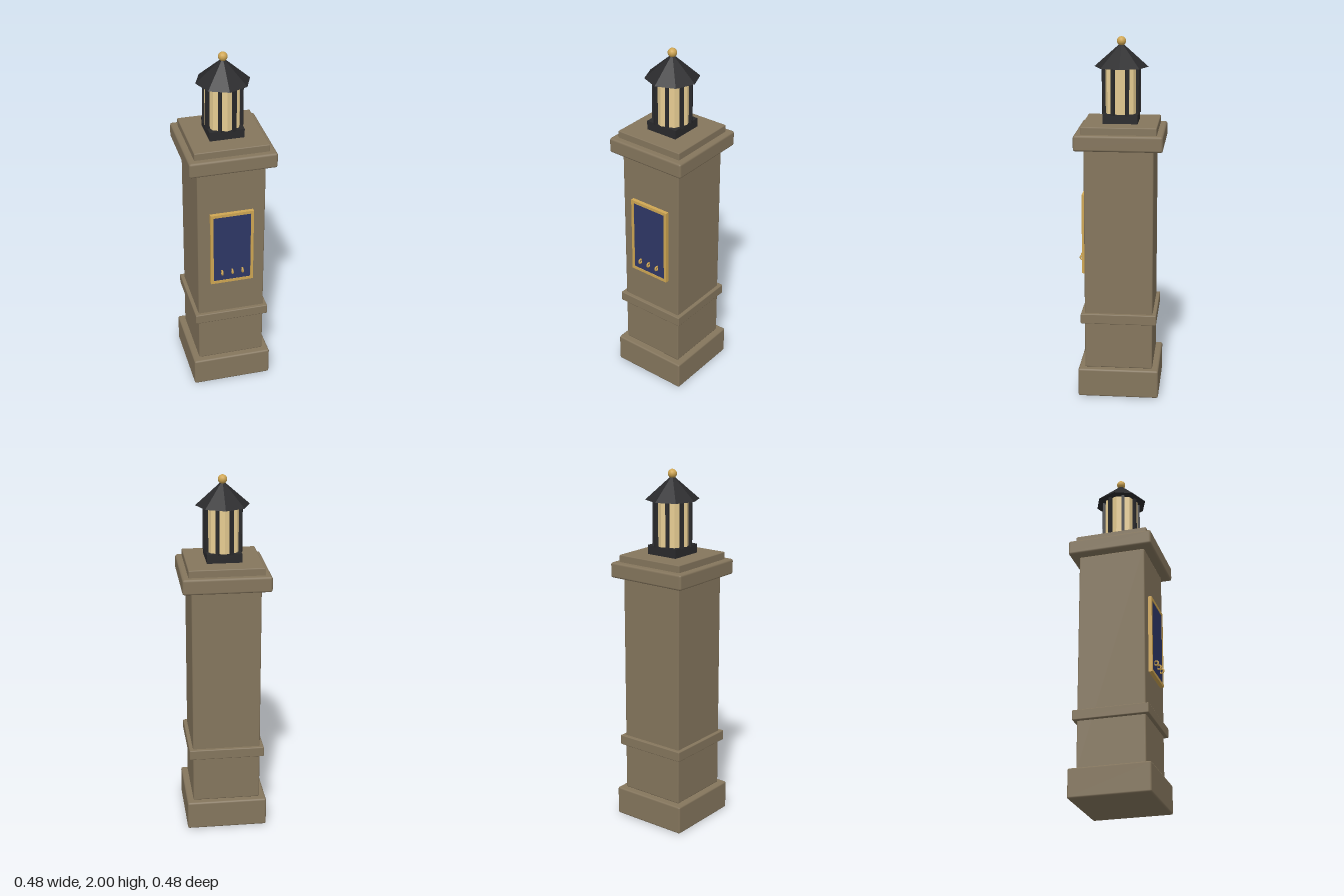
import * as THREE from 'three';
import { RoundedBoxGeometry } from 'three/addons/geometries/RoundedBoxGeometry.js';

function material(name, color) {
  const m = new THREE.MeshStandardMaterial({ color });
  m.name = name;
  return m;
}

// Faceted look: every face gets its own normal
function faceted(geometry) {
  const g = geometry.toNonIndexed();
  g.computeVertexNormals();
  return g;
}

export function createModel() {
  const stone = material('stone', 0x85765d);
  const iron = material('black iron', 0x2a2a2c);
  const glass = material('warm glass', 0xe6cc92);
  const gold = material('gold', 0xcfa653);
  const blue = material('navy blue', 0x2e3766);

  const model = new THREE.Group();
  model.name = 'lanternPillar';

  function add(name, geometry, mat, x = 0, y = 0, z = 0, parent = model) {
    const mesh = new THREE.Mesh(geometry, mat);
    mesh.name = name;
    mesh.position.set(x, y, z);
    parent.add(mesh);
    return mesh;
  }

  // Square stone blocks: name, half width, bottom, top, edge radius
  const blocks = [
    ['plinth', 0.225, 0, 0.163, 0.01],
    ['shaft', 0.189, 0.163, 1.414, 0.007],
    ['beltCourse', 0.21, 0.43, 0.487, 0.005],
    ['cornice', 0.24, 1.414, 1.5, 0.012],
    ['capSlab', 0.205, 1.495, 1.54, 0.005],
  ];
  for (const [name, half, low, high, radius] of blocks) {
    add(name, new RoundedBoxGeometry(half * 2, high - low, half * 2, 1, radius),
      stone, 0, (low + high) / 2, 0);
  }

  // Framed plaque on the front
  const plaque = new THREE.Group();
  plaque.name = 'plaque';
  plaque.position.set(0, 0.921, 0.187);
  model.add(plaque);

  function rectangle(path, w, h) {
    path.moveTo(-w / 2, -h / 2);
    path.lineTo(w / 2, -h / 2);
    path.lineTo(w / 2, h / 2);
    path.lineTo(-w / 2, h / 2);
    path.closePath();
    return path;
  }
  const frame = rectangle(new THREE.Shape(), 0.242, 0.45);
  frame.holes.push(rectangle(new THREE.Path(), 0.21, 0.416));
  add('plaqueFrame', new THREE.ExtrudeGeometry(frame, { depth: 0.023, bevelEnabled: false }),
    gold, 0, 0, 0, plaque);
  add('plaquePanel', new THREE.BoxGeometry(0.212, 0.418, 0.02), blue, 0, 0, 0.01, plaque);

  // Three small rings hanging on the plaque
  for (const x of [-0.058, 0, 0.058]) {
    const ring = add('plaqueRing', new THREE.TorusGeometry(0.012, 0.005, 6, 12), gold,
      x, -0.153, 0.028, plaque);
    ring.rotation.y = Math.PI / 2;
  }

  // Lantern
  const lantern = new THREE.Group();
  lantern.name = 'lantern';
  model.add(lantern);
  add('lanternBase', new THREE.BoxGeometry(0.19, 0.05, 0.19), iron, 0, 1.565, 0, lantern);
  add('lanternGlass', faceted(new THREE.CylinderGeometry(0.1, 0.1, 0.25, 8)), glass,
    0, 1.715, 0, lantern);

  // One bar in the middle of each pane
  for (let i = 0; i < 8; i++) {
    const angle = (i + 0.5) * Math.PI / 4;
    const bar = add('lanternBar', new THREE.BoxGeometry(0.018, 0.256, 0.018), iron,
      Math.sin(angle) * 0.1, 1.712, Math.cos(angle) * 0.1, lantern);
    bar.rotation.y = angle;
  }

  add('lanternRoof', faceted(new THREE.ConeGeometry(0.147, 0.13, 8)), iron,
    0, 1.903, 0, lantern);
  add('finial', new THREE.SphereGeometry(0.025, 12, 10), gold, 0, 1.975, 0, lantern);

  return model;
}
